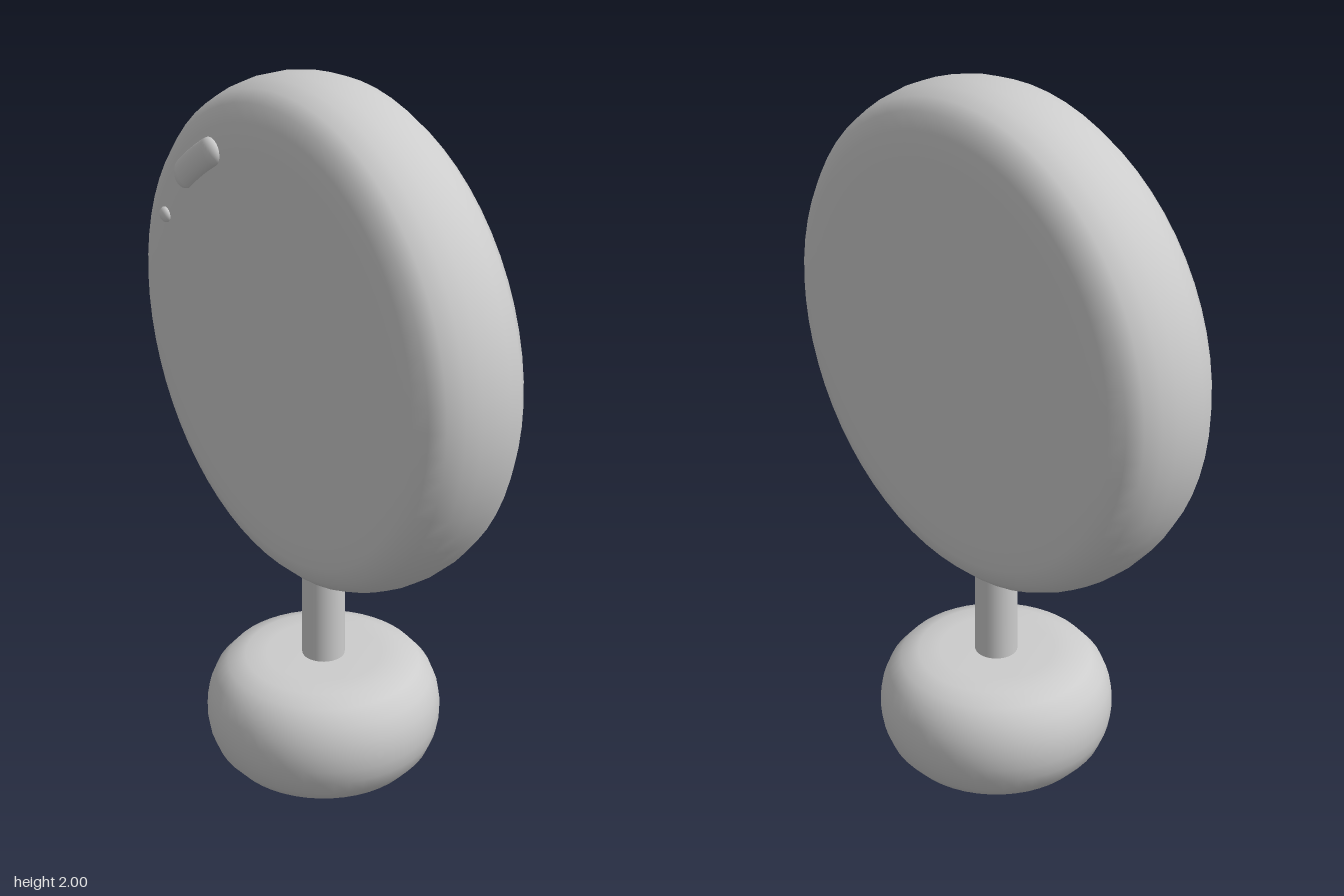
import * as THREE from 'three';

// Solid of revolution about y with a rounded rim, symmetric about its middle.
// half: [radius, height] points from the centre of the flat face out to the rim
function roundedDisc(half, segments) {
  const lower = half.map(([r, h]) => new THREE.Vector2(r, -h));
  const upper = half.map(([r, h]) => new THREE.Vector2(r, h)).reverse();
  return new THREE.LatheGeometry([...lower, ...upper], segments);
}

export function createModel() {
  const group = new THREE.Group();
  const grey = new THREE.MeshStandardMaterial({ color: 0xcccccc });
  grey.name = 'plainGrey';

  const add = (name, geometry, x, y, z) => {
    const mesh = new THREE.Mesh(geometry, grey);
    mesh.name = name;
    mesh.position.set(x, y, z);
    group.add(mesh);
  };

  // Large round head standing upright, flat faces to front and back
  const headProfile = [
    [0, 0.165], [0.52, 0.165], [0.595, 0.163], [0.64, 0.148],
    [0.67, 0.115], [0.687, 0.07], [0.695, 0.025],
  ];
  const head = roundedDisc(headProfile, 64);
  head.rotateX(Math.PI / 2);
  add('roundHead', head, 0, 1.305, 0);

  // Stem
  add('stem', new THREE.CylinderGeometry(0.06, 0.06, 0.34, 32), 0, 0.48, 0);

  // Soft rounded base
  const baseProfile = [
    [0, 0.169], [0.16, 0.169], [0.22, 0.164], [0.27, 0.145],
    [0.305, 0.105], [0.323, 0.06], [0.33, 0.02],
  ];
  add('base', roundedDisc(baseProfile, 48), 0, 0.169, 0);

  // Long highlight: a flattened, slightly bent capsule on the front face
  const streak = new THREE.CapsuleGeometry(0.04, 0.16, 10, 24, 8);
  const p = streak.attributes.position;
  for (let i = 0; i < p.count; i++) {
    const y = p.getY(i);
    p.setX(i, p.getX(i) + 0.5 * y * y - 0.003);
  }
  streak.scale(1, 1, 0.62);
  streak.computeVertexNormals();
  streak.rotateZ(-0.94);
  add('longHighlight', streak, -0.338, 1.72, 0.165);

  // Small highlight dot
  const dot = new THREE.SphereGeometry(0.024, 20, 14);
  dot.scale(1, 0.9, 0.6);
  add('dotHighlight', dot, -0.508, 1.525, 0.165);

  return group;
}
